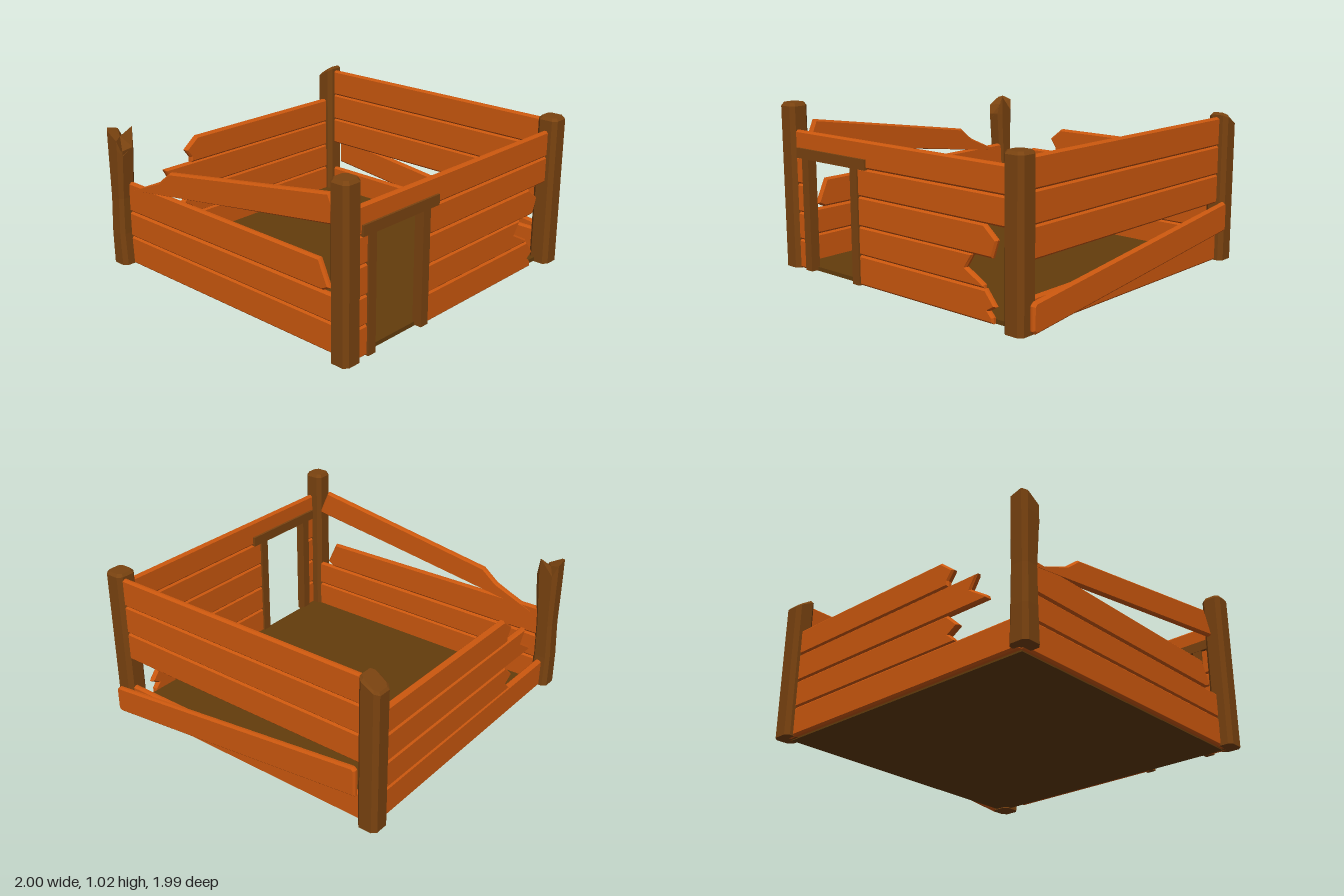
import * as THREE from 'three';

const WOOD = new THREE.MeshStandardMaterial({ color: 0xcc580e, flatShading: true });
const POST = new THREE.MeshStandardMaterial({ color: 0x7a4310, flatShading: true });
const FLOOR = new THREE.MeshStandardMaterial({ color: 0x643c0c, flatShading: true });

// bottom and top of each row of boards
const ROWS = [[0.01, 0.19], [0.19, 0.36], [0.36, 0.535], [0.535, 0.7], [0.7, 0.86]];

export function createModel() {
  const model = new THREE.Group();

  function add(parent, name, geometry, material) {
    const mesh = new THREE.Mesh(geometry, material);
    mesh.name = name;
    parent.add(mesh);
    return mesh;
  }

  function wall(name, x, z, sideways) {
    const g = new THREE.Group();
    g.name = name;
    g.position.set(x, 0, z);
    if (sideways) g.rotation.y = -Math.PI / 2; // local x becomes world z
    model.add(g);
    return g;
  }

  // chamfered board cut from an outline given in (along wall, height)
  function board(parent, name, points, thick = 0.036) {
    const b = 0.011;
    const shape = new THREE.Shape(points.map(p => new THREE.Vector2(...p)));
    const geo = new THREE.ExtrudeGeometry(shape, {
      depth: thick - 2 * b, bevelEnabled: true, bevelSegments: 1,
      bevelSize: b, bevelThickness: b, bevelOffset: -b,
    });
    geo.translate(0, 0, b - thick / 2);
    return add(parent, name, geo, WOOD);
  }

  const straight = (u0, u1, y0, y1) => [[u0, y0], [u1, y0], [u1, y1], [u0, y1]];

  // eight-sided post lofted through rings [y, x, z, halfX, halfZ, tilt(i)]
  function post(name, rings, capY) {
    const pos = [], idx = [], c = 0.62;
    const corners = [[1, -c], [1, c], [c, 1], [-c, 1], [-1, c], [-1, -c], [-c, -1], [c, -1]];
    rings.forEach(([y, x, z, hx, hz, tilt]) => corners.forEach(([u, v], i) =>
      pos.push(x + u * hx, y + (tilt ? tilt(u, v, i) : 0), z + v * hz)));
    for (let r = 0; r < rings.length - 1; r++) {
      for (let i = 0; i < 8; i++) {
        const a = r * 8 + i, b = r * 8 + (i + 1) % 8;
        idx.push(a, a + 8, b, b, a + 8, b + 8);
      }
    }
    const first = rings[0], last = rings[rings.length - 1], n = rings.length * 8;
    pos.push(first[1], first[0], first[2], last[1], capY, last[2]);
    for (let i = 0; i < 8; i++) {
      const j = (i + 1) % 8;
      idx.push(n, i, j, n + 1, n - 8 + j, n - 8 + i);
    }
    const geo = new THREE.BufferGeometry();
    geo.setAttribute('position', new THREE.Float32BufferAttribute(pos, 3));
    geo.setIndex(idx);
    geo.computeVertexNormals();
    add(model, name, geo, POST);
  }

  // floor slab
  const floor = add(model, 'floor', new THREE.BoxGeometry(1.83, 0.025, 1.8), FLOOR);
  floor.position.set(0, 0.0175, -0.01);

  // corner posts
  const slope = u => 0.035 * u;
  post('frontLeftPost', [[0.01, 0.912, 0.927, 0.063, 0.063], [1.0, 0.912, 0.927, 0.063, 0.063],
    [1.02, 0.912, 0.927, 0.05, 0.05]], 1.02);
  post('backLeftPost', [[0.0, 0.932, -0.888, 0.066, 0.066], [0.925, 0.932, -0.888, 0.066, 0.066],
    [0.942, 0.932, -0.888, 0.053, 0.053]], 0.942);
  post('backRightPost', [[0.01, -0.935, -0.915, 0.064, 0.064], [0.89, -0.935, -0.915, 0.064, 0.064, slope],
    [0.905, -0.935, -0.915, 0.052, 0.052, slope]], 0.905);
  // snapped post with a splintered top
  const splinter = [-0.05, -0.09, 0.0, 0.05, 0.06, 0.04, -0.03, 0.07];
  post('brokenFrontRightPost', [
    [0.015, -0.937, 0.927, 0.063, 0.063], [0.22, -0.942, 0.93, 0.058, 0.06],
    [0.45, -0.937, 0.926, 0.056, 0.057], [0.76, -0.927, 0.925, 0.07, 0.06],
    [0.82, -0.927, 0.925, 0.07, 0.06, (u, v, i) => splinter[i]],
  ], 0.83);

  // front wall: two whole boards, one snapped, one fallen at an angle
  const front = wall('frontWall', 0, 0.9, false);
  board(front, 'frontBoard', straight(-0.93, 0.9, ...ROWS[0]));
  board(front, 'frontBoard', straight(-0.93, 0.9, ROWS[1][0], 0.352));
  board(front, 'brokenFrontBoard', [[-0.93, 0.355], [0.74, 0.355], [0.79, 0.38], [0.72, 0.53], [-0.93, 0.545]]);
  board(front, 'slantedFrontBoard',
    [[-0.85, 0.5], [0.86, 0.745], [0.85, 0.77], [0.79, 0.905], [-0.48, 0.7], [-0.58, 0.62]], 0.04);

  // back wall: one row has come loose and leans outside
  const back = wall('backWall', 0, -0.913, false);
  board(back, 'backBoard', straight(-0.92, 0.92, 0.01, 0.185));
  [[0.375, 0.555], [0.555, 0.735], [0.735, 0.91]].forEach(r =>
    board(back, 'backBoard', straight(-0.92, 0.92, ...r)));
  const loose = wall('looseBoard', 0, -0.982, false);
  board(loose, 'looseBackBoard',
    [[-0.88, 0.21], [0.93, 0.015], [0.95, 0.035], [0.95, 0.165], [0.93, 0.185], [-0.86, 0.39], [-0.88, 0.375]]);

  // right wall: boards splintered towards the front
  const right = wall('rightWall', -0.933, 0, true);
  const rightEnds = [
    [[0.9, 0.01], [0.9, 0.19]],
    [[0.47, 0.19], [0.42, 0.24], [0.485, 0.28], [0.4, 0.36]],
    [[0.69, 0.36], [0.685, 0.38], [0.57, 0.455], [0.615, 0.535]],
    [[0.4, 0.535], [0.4, 0.57], [0.44, 0.625], [0.345, 0.7]],
  ];
  rightEnds.forEach((end, i) =>
    board(right, 'rightBoard', [[-0.9, ROWS[i][0]], ...end, [-0.9, ROWS[i][1]]], 0.042));

  // left wall: boards splintered towards the back, interrupted by the doorway
  const left = wall('leftWall', 0.933, 0, true);
  const leftEnds = [
    [[-0.67, 0.19], [-0.74, 0.105], [-0.69, 0.075], [-0.72, 0.045], [-0.72, 0.01]],
    [[-0.58, 0.36], [-0.53, 0.28], [-0.66, 0.21], [-0.66, 0.19]],
    [[-0.66, 0.535], [-0.75, 0.46], [-0.715, 0.36]],
    [[-0.88, 0.7], [-0.88, 0.535]],
  ];
  leftEnds.forEach((end, i) => {
    board(left, 'leftBoard', [[0.34, ROWS[i][0]], [0.34, ROWS[i][1]], ...end].reverse());
    board(left, 'leftStubBoard', straight(0.77, 0.9, ...ROWS[i]));
  });
  board(left, 'leftTopBoard', straight(-0.88, 0.9, ...ROWS[4]));

  // door frame
  [0.34, 0.775].forEach(z => {
    const jamb = add(model, 'doorJamb', new THREE.BoxGeometry(0.06, 0.685, 0.058), POST);
    jamb.position.set(0.932, 0.3525, z);
  });
  const lintel = add(model, 'doorLintel', new THREE.BoxGeometry(0.065, 0.062, 0.61), POST);
  lintel.position.set(0.932, 0.726, 0.545);

  return model;
}
